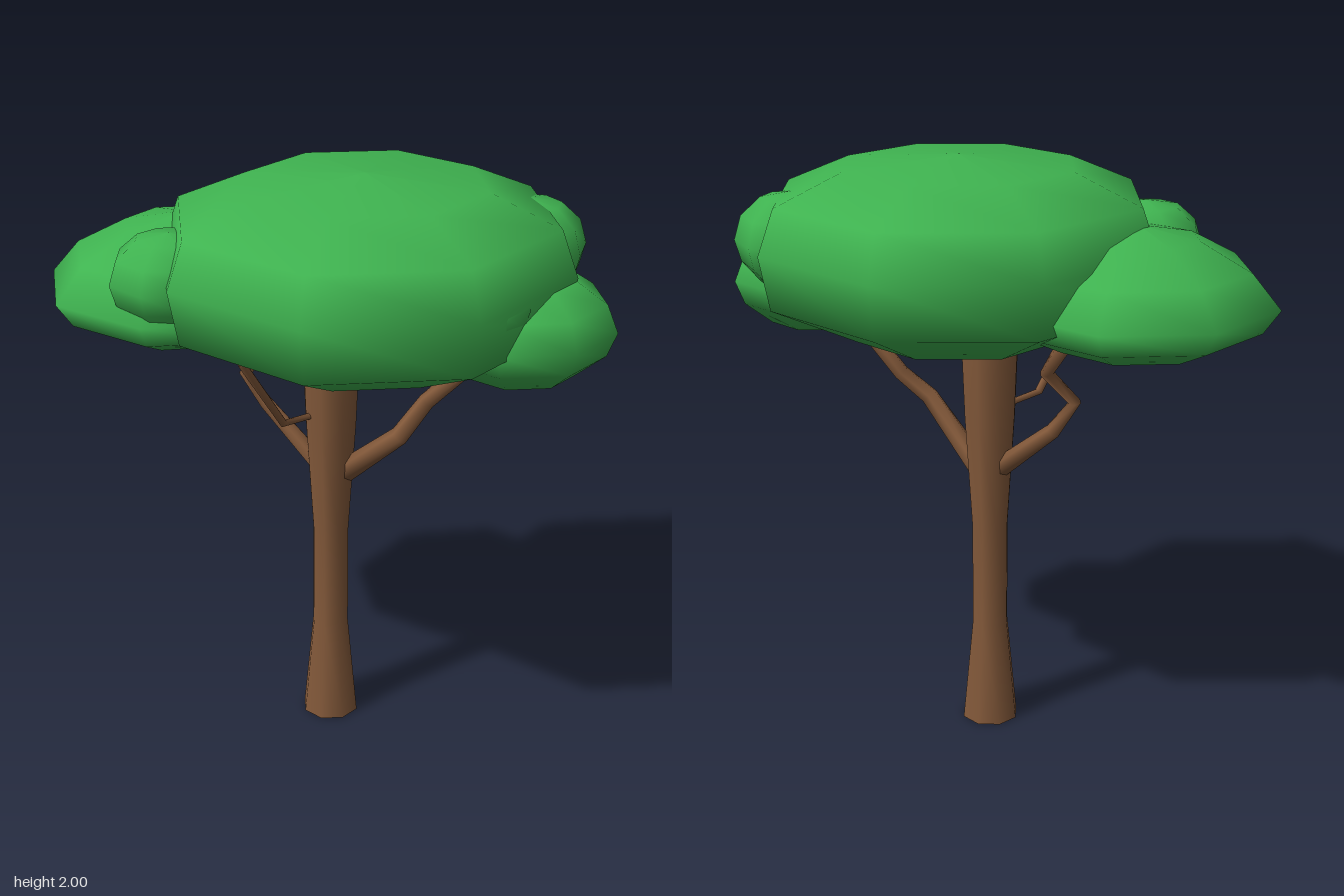
import * as THREE from 'three';

const bark = new THREE.MeshStandardMaterial({ color: 0x83593a });
bark.name = 'bark brown';
const leaf = new THREE.MeshStandardMaterial({ color: 0x3fb350 });
leaf.name = 'leaf green';

function add(parent, geometry, material, name) {
  const mesh = new THREE.Mesh(geometry, material);
  mesh.name = name;
  parent.add(mesh);
  return mesh;
}

// Eight-sided body turned from [radius, y] points, listed bottom to top
function turned(profile, turnDegrees) {
  const points = profile.map(([r, y]) => new THREE.Vector2(r, y));
  return new THREE.LatheGeometry(points, 8, THREE.MathUtils.degToRad(turnDegrees));
}

// Flattened leaf clump with seven rings, as fractions of its radius and height
function clumpProfile(radius, height) {
  const rings = [[0, -1], [0.6, -0.87], [0.9, -0.45], [1, 0], [0.88, 0.5], [0.55, 0.88], [0, 1]];
  return rings.map(([r, y]) => [r * radius, y * height]);
}

// Bent, tapering branch through nodes [x, y, z, radius], capped at both ends
function branchGeometry(nodes, sides = 6) {
  const centres = nodes.map(([x, y, z]) => new THREE.Vector3(x, y, z));
  const positions = [];
  const indices = [];
  const reference = new THREE.Vector3(0.3, 0.1, 1).normalize();
  if (Math.abs(nodes[0][2] - nodes[nodes.length - 1][2]) > 0.25) reference.set(1, 0, 0);
  centres.forEach((c, i) => {
    const before = centres[Math.max(i - 1, 0)];
    const after = centres[Math.min(i + 1, centres.length - 1)];
    const tangent = after.clone().sub(before).normalize();
    const u = reference.clone().cross(tangent).normalize();
    const v = tangent.clone().cross(u);
    for (let k = 0; k < sides; k++) {
      const a = (k / sides) * Math.PI * 2;
      const p = c.clone()
        .addScaledVector(u, Math.cos(a) * nodes[i][3])
        .addScaledVector(v, Math.sin(a) * nodes[i][3]);
      positions.push(p.x, p.y, p.z);
    }
  });
  for (let i = 0; i < centres.length - 1; i++) {
    for (let k = 0; k < sides; k++) {
      const a = i * sides + k;
      const b = i * sides + (k + 1) % sides;
      indices.push(a, b, b + sides, a, b + sides, a + sides);
    }
  }
  const last = (centres.length - 1) * sides;
  for (let k = 1; k < sides - 1; k++) {
    indices.push(0, k + 1, k, last, last + k, last + k + 1);
  }
  const geometry = new THREE.BufferGeometry();
  geometry.setAttribute('position', new THREE.Float32BufferAttribute(positions, 3));
  geometry.setIndex(indices);
  geometry.computeVertexNormals();
  return geometry;
}

export function createModel() {
  const tree = new THREE.Group();
  tree.name = 'tree';

  // Trunk, flared at the foot and under the crown
  const trunkProfile = [[0.1, 0], [0.064, 0.37], [0.064, 0.73], [0.09, 1.13], [0.1, 1.38], [0.1, 1.48]];
  const trunk = add(tree, turned(trunkProfile, 22.5), bark, 'trunk');
  trunk.position.x = 0.013;
  const foot = add(tree, new THREE.CircleGeometry(0.1, 8, Math.PI / 8), bark, 'trunkFoot');
  foot.rotation.x = Math.PI / 2;
  foot.position.x = 0.013;

  // Branches
  const branches = {
    leftBranch: [[0.05, 0.94, -0.02, 0.04], [0.28, 1.14, -0.04, 0.032], [0.31, 1.24, -0.14, 0.028], [0.48, 1.43, -0.21, 0.027]],
    rightBranch: [[-0.02, 0.94, 0, 0.035], [-0.25, 1.13, 0.04, 0.026], [-0.31, 1.235, 0.08, 0.022], [-0.26, 1.34, 0, 0.024], [-0.33, 1.46, 0.02, 0.028]],
    frontBranch: [[-0.01, 1.16, 0.05, 0.012], [-0.015, 1.175, 0.2, 0.014], [-0.03, 1.43, 0.37, 0.015]],
  };
  for (const [name, nodes] of Object.entries(branches)) {
    add(tree, branchGeometry(nodes), bark, name);
  }

  // Main crown, a broad cushion with a flattened underside
  const crownProfile = [[0, 1.395], [0.36, 1.405], [0.65, 1.54], [0.685, 1.72], [0.63, 1.87], [0.4, 1.968], [0, 2]];
  const crown = add(tree, turned(crownProfile, 25.5), leaf, 'mainCrown');
  crown.position.set(0.13, 0, -0.03);

  // Broad low clump on the right
  const sideProfile = [[0, 1.405], [0.27, 1.435], [0.41, 1.5], [0.465, 1.58], [0.37, 1.69], [0.2, 1.78], [0, 1.82]];
  const side = add(tree, turned(sideProfile, 29), leaf, 'rightClump');
  side.position.set(-0.43, 0, 0.23);

  // Smaller clumps: name, centre, radius, half height, turn
  const clumps = [
    ['leftClump', [0.59, 1.555, -0.25], 0.31, 0.178, 25],
    ['frontClump', [-0.25, 1.69, 0.46], 0.2, 0.15, 20],
    ['backClump', [0.45, 1.73, -0.46], 0.2, 0.16, 5],
    ['smallLeftClump', [0.62, 1.69, 0], 0.155, 0.12, 25],
  ];
  for (const [name, centre, radius, height, turn] of clumps) {
    add(tree, turned(clumpProfile(radius, height), turn), leaf, name).position.set(...centre);
  }

  return tree;
}
